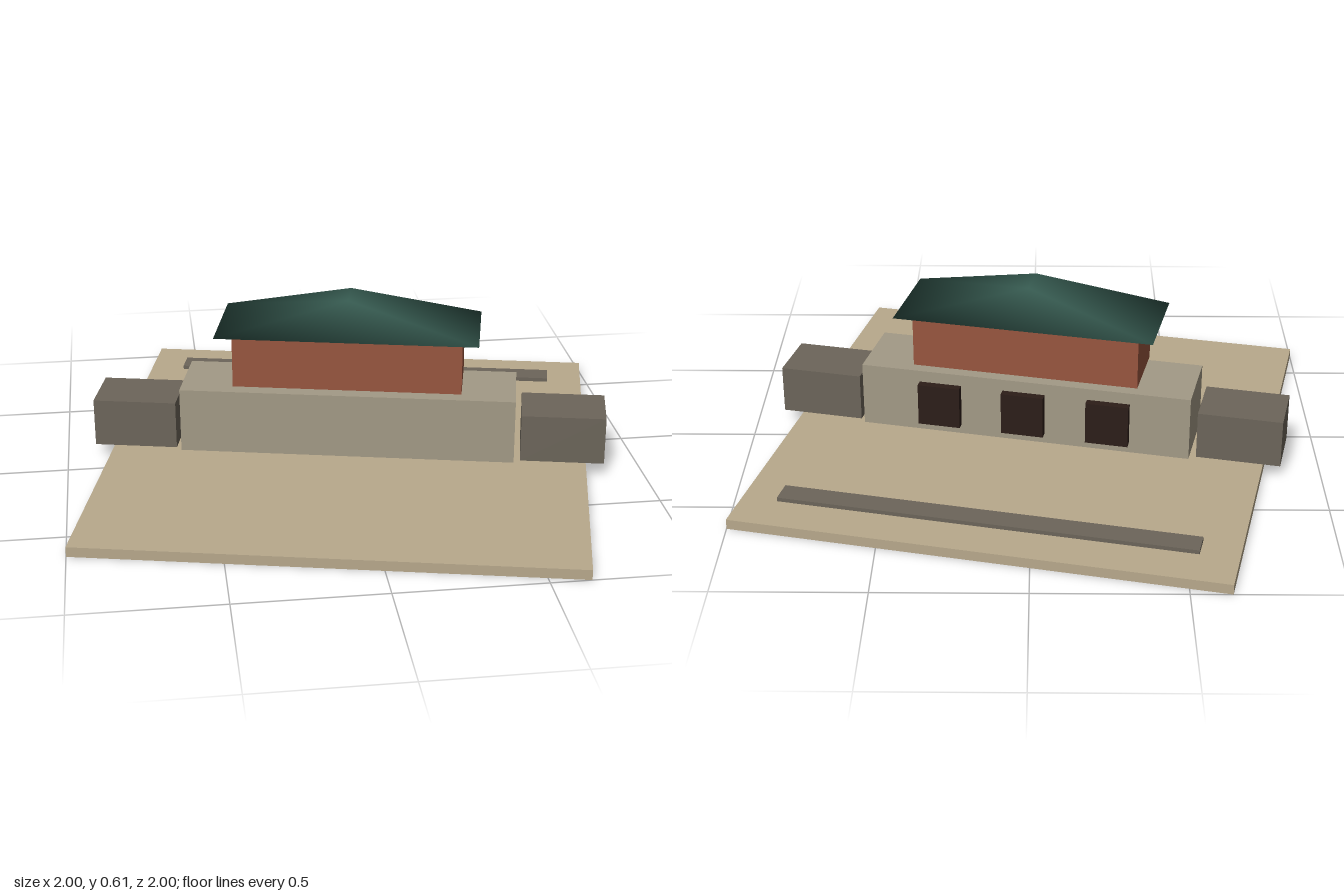
import * as THREE from 'three';

const mat = (color) => new THREE.MeshStandardMaterial({ color });
const sand = mat(0xb8a98c), stone = mat(0xa39a86), darkStone = mat(0x6c655a);
const brick = mat(0x98553e), glass = mat(0x2c1d18), tile = mat(0x35594f);

// Box given by its width, depth, bottom and top heights, and centre on the ground
function block(name, material, w, d, y0, y1, x = 0, z = 0) {
  const mesh = new THREE.Mesh(new THREE.BoxGeometry(w, y1 - y0, d), material);
  mesh.position.set(x, (y0 + y1) / 2, z);
  mesh.name = name;
  return mesh;
}

// Closed hip roof with a short ridge running front to back, smooth shaded
function hipRoof(w, d, y0, y1, ridge) {
  const x = w / 2, z = d / 2, r = ridge / 2;
  const geo = new THREE.BufferGeometry();
  geo.setAttribute('position', new THREE.Float32BufferAttribute([
    -x, y0, -z, x, y0, -z, x, y0, z, -x, y0, z, // eaves
    0, y1, -r, 0, y1, r, // ridge
  ], 3));
  geo.setIndex([
    1, 0, 4, 3, 2, 5, // back and front
    0, 3, 5, 0, 5, 4, 2, 1, 4, 2, 4, 5, // sides
    0, 1, 3, 1, 2, 3, // underside
  ]);
  geo.computeVertexNormals();
  const mesh = new THREE.Mesh(geo, tile);
  mesh.name = 'roof';
  return mesh;
}

export function createModel() {
  const group = new THREE.Group();
  group.name = 'building';

  // Whole site is turned on its plot
  const site = new THREE.Group();
  site.name = 'site';
  site.rotation.y = -0.2196;
  group.add(site);

  site.add(block('groundSlab', sand, 1.675, 1.675, 0, 0.035));
  site.add(block('lowerFloor', stone, 1.17, 0.266, 0.055, 0.285));
  site.add(block('upperFloor', brick, 0.795, 0.247, 0.303, 0.483));
  site.add(hipRoof(0.908, 0.34, 0.498, 0.612, 0.125));

  // Side wings
  for (const s of [1, -1]) {
    site.add(block(s > 0 ? 'leftWing' : 'rightWing', darkStone, 0.292, 0.206, 0.05, 0.22, s * 0.753));
  }

  // Openings along the back wall
  for (const i of [-1, 0, 1]) {
    site.add(block('backOpening', glass, 0.15, 0.037, 0.09, 0.243, i * 0.3, -0.143));
  }

  // Long low strip behind the building
  site.add(block('pathStrip', darkStone, 1.418, 0.083, 0.043, 0.057, 0, -0.66));

  return group;
}
